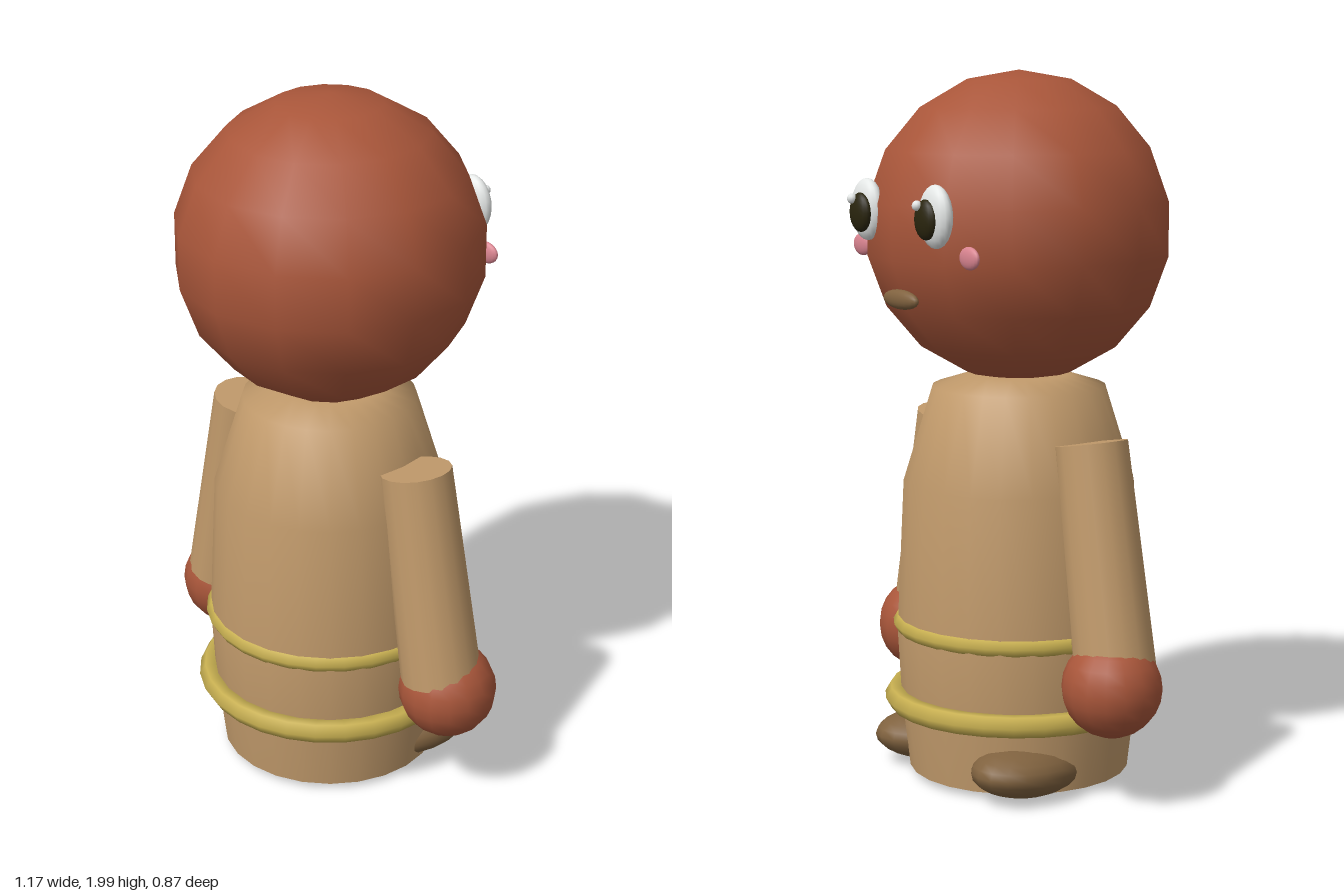
import * as THREE from 'three';

const mat = (name, color) => {
  const m = new THREE.MeshStandardMaterial({ color });
  m.name = name;
  return m;
};

export function createModel() {
  const skin = mat('russet skin', 0xa9563a);
  const cloth = mat('tan robe', 0xc19a6b);
  const cord = mat('golden cord', 0xc6ae50);
  const brown = mat('brown', 0x80623f);
  const white = mat('eye white', 0xe6e9e8);
  const dark = mat('pupil', 0x2a250e);
  const pink = mat('cheek pink', 0xd98490);

  const model = new THREE.Group();
  const add = (name, geometry, material, x, y, z) => {
    const mesh = new THREE.Mesh(geometry, material);
    mesh.name = name;
    mesh.position.set(x, y, z);
    model.add(mesh);
    return mesh;
  };
  const ellipsoid = (rx, ry, rz, w = 18, h = 12) =>
    new THREE.SphereGeometry(1, w, h).scale(rx, ry, rz);

  // Coarse round head, with a corner of its outline on the z axis
  add('head', new THREE.SphereGeometry(0.43, 14, 9).rotateY(Math.PI / 2), skin, 0, 1.57, 0.01);

  // Robe: closed, turned profile
  const profile = [[0, 0.03], [0.312, 0.03], [0.335, 0.23], [0.346, 0.43], [0.326, 0.86],
    [0.244, 1.125], [0.14, 1.158], [0, 1.158]].map(([r, y]) => new THREE.Vector2(r, y));
  // The hem is a separate disc so its edge stays sharp
  add('robe', new THREE.LatheGeometry(profile.slice(1), 24), cloth, 0, 0, 0.01);
  add('robeBase', new THREE.CircleGeometry(0.312, 24).rotateX(Math.PI / 2), cloth, 0, 0.03, 0.01);

  // Two cords round the robe
  for (const [name, y, radius, tube] of [['upperCord', 0.45, 0.333, 0.025], ['lowerCord', 0.235, 0.35, 0.033]]) {
    add(name, new THREE.TorusGeometry(radius, tube, 6, 28).rotateX(Math.PI / 2), cord, 0, y, 0.01);
  }

  // Mouth on the -z side of the head
  add('mouth', ellipsoid(0.08, 0.027, 0.02), brown, 0, 1.392, -0.385);

  for (const [side, s] of [['left', 1], ['right', -1]]) {
    // Sleeve, leaning in at the top
    const arm = add(side + 'Arm', new THREE.CylinderGeometry(0.1, 0.113, 0.62, 16), cloth,
      s * 0.385, 0.70, 0.01);
    arm.rotation.z = s * 0.177;
    add(side + 'Hand', new THREE.SphereGeometry(0.138, 16, 12), skin, s * 0.448, 0.352, -0.008);

    // Foot, toes towards -z and turned a little outwards
    const foot = add(side + 'Foot', ellipsoid(0.13, 0.075, 0.19), brown, s * 0.215, 0.087, -0.12);
    foot.rotation.set(0.06, -s * 0.25, 0);

    // Face details
    add(side + 'Eye', ellipsoid(0.065, 0.085, 0.033), white, s * 0.164, 1.625, -0.383);
    add(side + 'Pupil', ellipsoid(0.044, 0.054, 0.022), dark, s * 0.157, 1.618, -0.41);
    add(side + 'EyeGlint', new THREE.SphereGeometry(0.014, 10, 8), white, s * 0.157 + 0.015, 1.655, -0.428);
    add(side + 'Cheek', ellipsoid(0.042, 0.031, 0.014), pink, s * 0.256, 1.52, -0.34);
  }
  return model;
}
